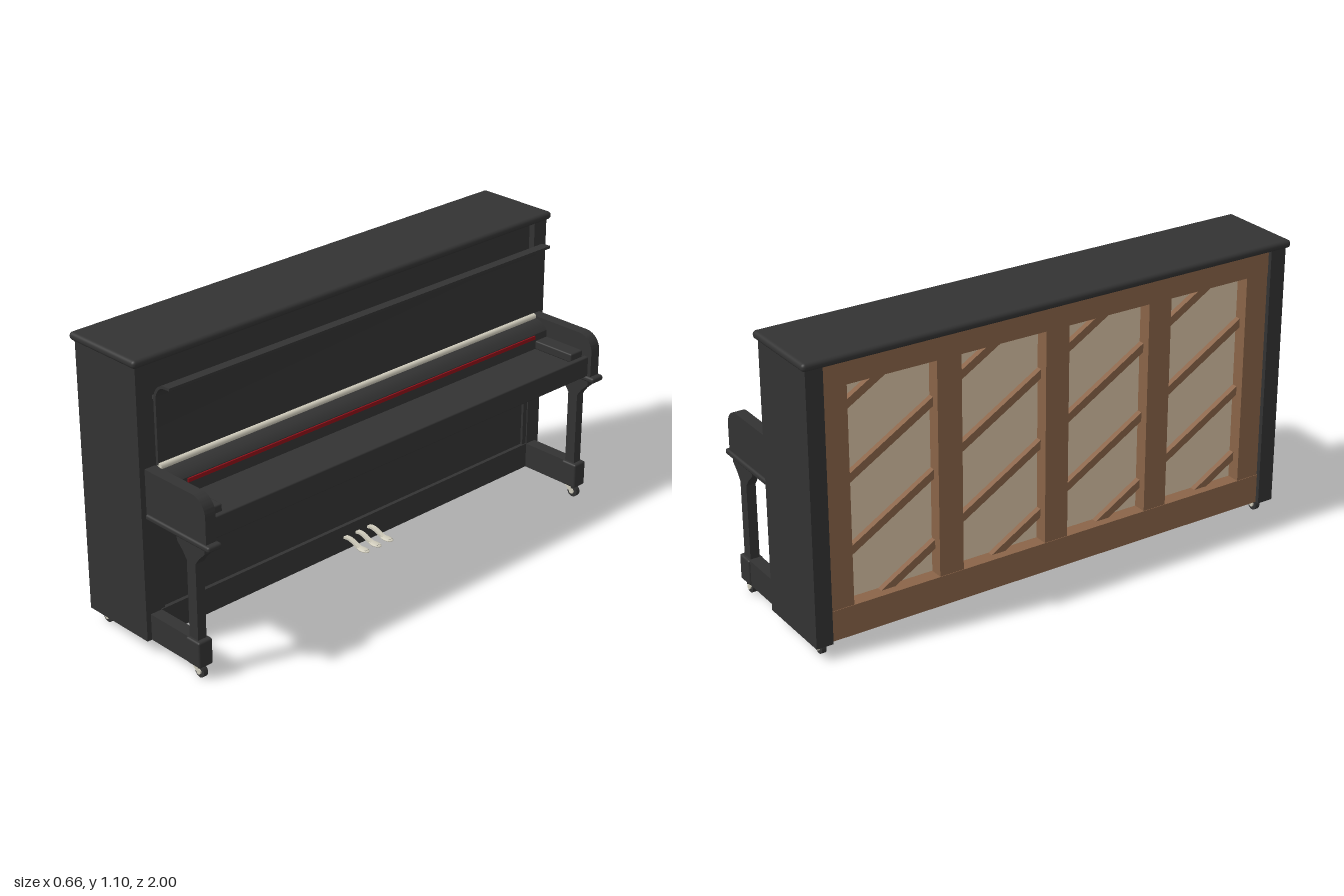
import * as THREE from 'three';
import { toCreasedNormals } from 'three/addons/utils/BufferGeometryUtils.js';
import { RoundedBoxGeometry } from 'three/addons/geometries/RoundedBoxGeometry.js';

const mat = (color) => new THREE.MeshStandardMaterial({ color, side: THREE.DoubleSide });

export function createModel() {
  const root = new THREE.Group();
  const black = mat(0x333333), brown = mat(0x8a6448), beige = mat(0xd9c3a5);
  const metal = mat(0xd0ccbc), red = mat(0x8c1018);

  const add = (name, geo, m) => {
    const mesh = new THREE.Mesh(geo, m);
    mesh.name = name;
    root.add(mesh);
    return mesh;
  };
  const box = (name, x0, x1, y0, y1, z0, z1, m = black, r = 0) => {
    const s = [x1 - x0, y1 - y0, z1 - z0];
    const geo = r ? new RoundedBoxGeometry(...s, 3, r) : new THREE.BoxGeometry(...s);
    return add(name, geo.translate((x0 + x1) / 2, (y0 + y1) / 2, (z0 + z1) / 2), m);
  };
  // side profile (x, y) swept along z
  const sweep = (name, shape, z0, z1, m = black) => {
    const geo = new THREE.ExtrudeGeometry(shape, { depth: z1 - z0, bevelEnabled: false, curveSegments: 10 });
    return add(name, toCreasedNormals(geo.translate(0, 0, z0), 0.6), m);
  };
  const poly = (pts) => new THREE.Shape(pts.map((p) => new THREE.Vector2(...p)));

  // case
  box('lid', -0.33, 0.015, 1.07, 1.1, -1, 1, black, 0.014);
  box('upperPanel', -0.045, -0.025, 0.54, 1.075, -0.92, 0.92);
  box('lowerPanel', -0.035, -0.015, 0.15, 0.54, -0.9, 0.9);
  box('bottomRail', -0.035, 0, 0.05, 0.15, -0.92, 0.92);
  box('keybedMoulding', -0.03, 0.012, 0.515, 0.54, -0.92, 0.92);

  // music desk: flat board with a curled lip and rounded upper corners
  const desk = new THREE.Shape();
  desk.moveTo(0, 0.69);
  desk.lineTo(0.012, 0.69);
  desk.lineTo(0.012, 0.945);
  desk.quadraticCurveTo(0.02, 0.985, 0.052, 0.992);
  desk.lineTo(0.085, 0.994);
  desk.lineTo(0.085, 1.004);
  desk.lineTo(0.05, 1.002);
  desk.quadraticCurveTo(0.01, 0.99, 0, 0.945);
  sweep('musicDesk', desk, -0.915, 0.915);
  box('deskBacking', -0.03, 0, 0.6, 0.94, -0.92, 0.92);

  // keyboard section
  box('keybed', 0, 0.272, 0.54, 0.6, -0.925, 0.925);
  box('keySlip', 0.268, 0.29, 0.535, 0.615, -0.925, 0.925, black, 0.005);
  sweep('fallboard', poly([[0, 0.6], [0.08, 0.6], [0.08, 0.66], [0.065, 0.678], [0.035, 0.69], [0, 0.69]]), -0.92, 0.92);
  box('feltStrip', 0.078, 0.086, 0.643, 0.657, -0.85, 0.85, red);
  const hinge = add('hingeRail', new THREE.CylinderGeometry(0.011, 0.011, 1.83, 12), metal);
  hinge.rotation.x = Math.PI / 2;
  hinge.position.set(0.018, 0.7, 0);

  // pedals
  const pedal = new THREE.Shape();
  pedal.moveTo(-0.01, 0.095);
  pedal.bezierCurveTo(0.03, 0.115, 0.05, 0.09, 0.075, 0.086);
  pedal.quadraticCurveTo(0.1, 0.082, 0.115, 0.09);
  pedal.lineTo(0.115, 0.096);
  pedal.quadraticCurveTo(0.1, 0.092, 0.078, 0.095);
  pedal.bezierCurveTo(0.05, 0.1, 0.035, 0.122, -0.01, 0.106);
  for (const z of [-0.06, 0, 0.06]) {
    sweep('pedal', pedal, z - 0.009, z + 0.009, metal);
    const pad = add('pedalPad', new THREE.SphereGeometry(1, 16, 8), metal);
    pad.scale.set(0.03, 0.006, 0.017);
    pad.position.set(0.095, 0.09, z);
  }

  // profiles for the two ends
  const arm = new THREE.Shape();
  arm.moveTo(0, 0.535);
  arm.lineTo(0.305, 0.535);
  arm.lineTo(0.305, 0.63);
  arm.absarc(0.24, 0.635, 0.065, 0, Math.PI / 2, false);
  arm.lineTo(0, 0.7);
  const leg = poly([[0.198, 0.14], [0.242, 0.14], [0.242, 0.44], [0.262, 0.468], [0.29, 0.495],
    [0.29, 0.516], [0.15, 0.516], [0.15, 0.495], [0.178, 0.468], [0.198, 0.44]]);

  for (const s of [-1, 1]) {
    const ends = (a, b) => (s > 0 ? [a, b] : [-b, -a]);
    const mid = s * 0.942;
    box('sidePanel', -0.315, 0, 0.05, 1.075, ...ends(0.92, 0.985));
    box('frontStile', -0.035, -0.005, 0.15, 0.52, ...ends(0.9, 0.92));
    sweep('keyArm', arm, ...ends(0.92, 0.964));
    box('armPlate', 0, 0.326, 0.515, 0.537, ...ends(0.912, 0.972), black, 0.009);
    box('keyBlock', 0.08, 0.262, 0.6, 0.635, ...ends(0.855, 0.92), black, 0.006);
    sweep('frontLeg', leg, ...ends(0.924, 0.96));
    box('toeBeam', 0, 0.232, 0.05, 0.15, ...ends(0.918, 0.966));
    box('toeBlock', 0.19, 0.26, 0.05, 0.15, ...ends(0.912, 0.972), black, 0.008);

    // casters
    for (const [x, dx] of [[0.232, -0.025], [-0.265, 0.025]]) {
      const wheel = add('casterWheel', new THREE.CylinderGeometry(0.023, 0.023, 0.018, 20), black);
      const hub = add('casterHub', new THREE.CylinderGeometry(0.01, 0.01, 0.03, 12), metal);
      for (const part of [wheel, hub]) {
        part.rotation.x = Math.PI / 2;
        part.position.set(x, 0.023, mid);
      }
      const fork = poly([[x - 0.007, 0.018], [x + 0.007, 0.018], [x + dx + 0.014, 0.052], [x + dx - 0.014, 0.052]]);
      for (const z of [mid - 0.015, mid + 0.011]) sweep('casterFork', fork, z, z + 0.004, metal);
    }
  }

  // back frame
  box('backTopRail', -0.3, -0.245, 0.98, 1.07, -0.92, 0.92, brown);
  box('backBottomRail', -0.3, -0.245, 0.05, 0.165, -0.92, 0.92, brown);
  for (let i = -2; i <= 2; i++) {
    const z = i * 0.437;
    box('backPost', -0.298, -0.245, 0.16, 0.985, z - 0.048, z + 0.048, brown);
  }
  box('soundboard', -0.246, -0.236, 0.055, 1.07, -0.92, 0.92, beige);

  // diagonal ribs: clipped to the frame height, drawn in (z, y) and turned to face along x
  const rib = (name, slope, y0, x, depth, thick, m) => {
    const a = (0.09 - y0) / slope, b = (1.04 - y0) / slope;
    const z0 = Math.max(-0.9, Math.min(a, b)), z1 = Math.min(0.9, Math.max(a, b));
    if (z1 - z0 < 0.05) return;
    const y = (z) => y0 + slope * z;
    const shape = poly([[-z0, y(z0) - thick], [-z1, y(z1) - thick], [-z1, y(z1) + thick], [-z0, y(z0) + thick]]);
    const geo = new THREE.ExtrudeGeometry(shape, { depth, bevelEnabled: false });
    add(name, geo.rotateY(Math.PI / 2).translate(x, 0, 0), m);
  };
  for (let k = -2; k <= 6; k++) rib('outerRib', 0.6, k * 0.27 + 0.03, -0.268, 0.023, 0.017, brown);
  for (let k = -3; k <= 7; k++) rib('innerRib', -0.8, k * 0.28 + 0.1, -0.237, 0.014, 0.017, beige);
  return root;
}
